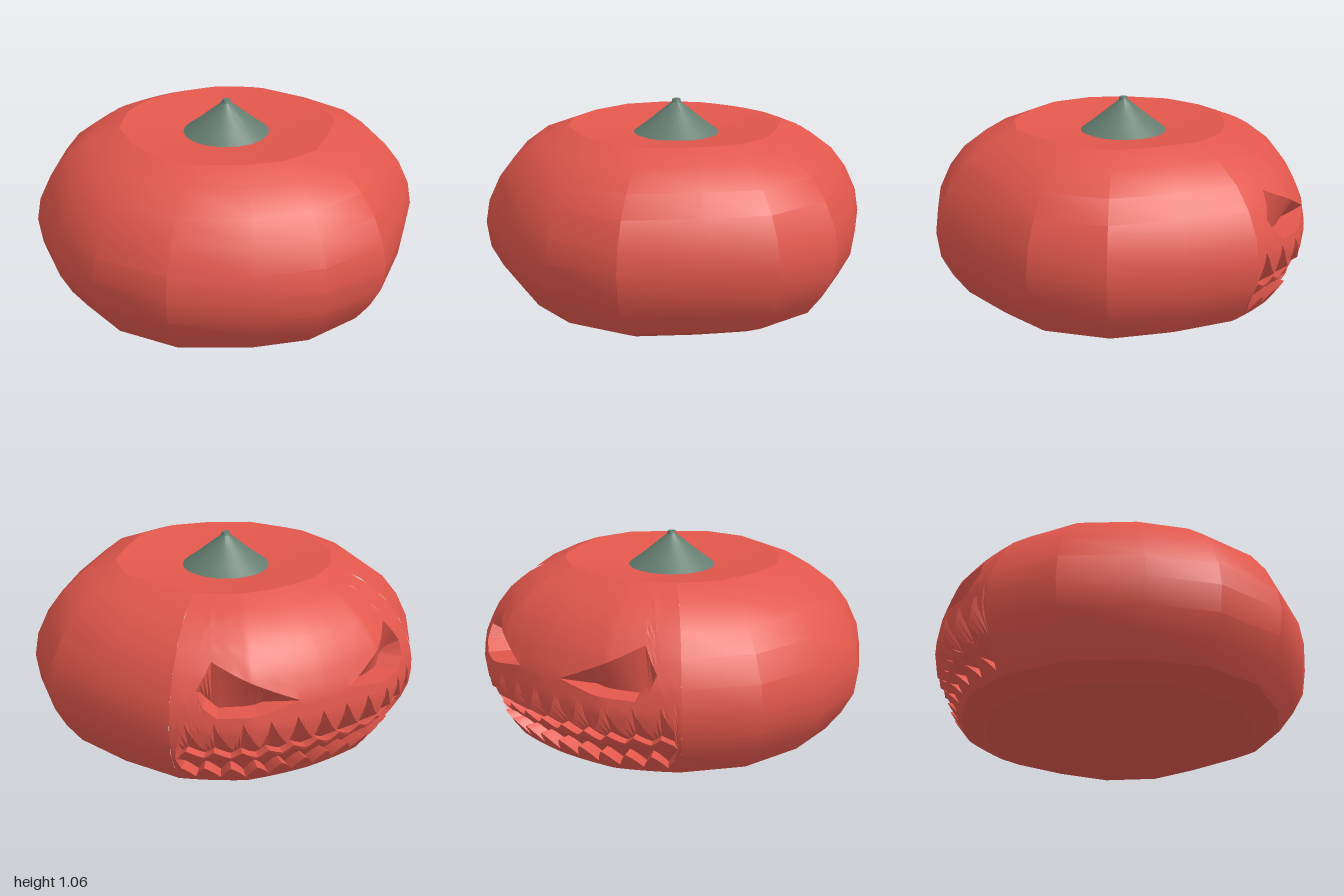
import * as THREE from 'three';
import { toCreasedNormals } from 'three/addons/utils/BufferGeometryUtils.js';

// Body outline (x, z) at its widest, running clockwise seen from above
const FRONT = [[0.7, -0.72], [0.88, -0.385], [1, -0.015], [0.92, 0.37], [0.685, 0.63], [0.375, 0.915],
  [-0.01, 0.99], [-0.35, 0.9], [-0.72, 0.7], [-0.945, 0.365], [-1, 0], [-0.94, -0.405], [-0.72, -0.72]];
const BACK = [[-0.72, -0.72], [-0.4, -0.925], [-0.01, -0.98], [0.375, -0.935], [0.7, -0.72]];
// Side profile: [height, fraction of the outline]
const PROFILE = [[0.07, 0.84], [0.175, 0.92], [0.285, 0.98], [0.42, 1], [0.54, 0.98],
  [0.67, 0.92], [0.775, 0.84], [0.87, 0.715], [0.93, 0.56]];

// Piecewise linear lookup in a list of [x, y] pairs
function lookup(table, x) {
  if (x <= table[0][0]) return table[0][1];
  for (let i = 1; i < table.length; i++) {
    const [x0, y0] = table[i - 1], [x1, y1] = table[i];
    if (x <= x1) return y0 + (y1 - y0) * (x - x0) / (x1 - x0);
  }
  return table[table.length - 1][1];
}

// Point on the body side, optionally sunk inward
function surface([x, z], y, depth = 0) {
  const f = lookup(PROFILE, y) - depth;
  return new THREE.Vector3(x * f, y, z * f);
}

// Outline point on the carved side for an angle of -45..45 degrees
function backPoint(angle) {
  const u = (angle + 45) / 22.5, i = Math.min(3, Math.floor(u)), f = u - i;
  const a = BACK[i], b = BACK[i + 1], bulge = 1 + 0.04 * f * (1 - f);
  return [(a[0] + (b[0] - a[0]) * f) * bulge, (a[1] + (b[1] - a[1]) * f) * bulge];
}

// Skin between neighbouring columns of points
function skin(columns, crease) {
  const pos = [], area = new THREE.Triangle();
  const tri = (...p) => {
    if (area.set(...p).getArea() > 1e-8) for (const v of p) pos.push(v.x, v.y, v.z);
  };
  for (let i = 0; i + 1 < columns.length; i++) {
    const p = columns[i], q = columns[i + 1];
    for (let j = 0; j + 1 < p.length; j++) {
      tri(p[j], p[j + 1], q[j + 1]);
      tri(p[j], q[j + 1], q[j]);
    }
  }
  const g = new THREE.BufferGeometry();
  g.setAttribute('position', new THREE.Float32BufferAttribute(pos, 3));
  return toCreasedNormals(g, crease);
}

// Repeating spike, 0 in the valleys and 1 at the tip, with a leaning peak
function spike(angle, peak) {
  const s = (((angle + 44) % 8) + 8) % 8;
  return Math.pow(s < peak ? s / peak : (8 - s) / (8 - peak), 1.3);
}

// Carved column: surface runs broken by wedge cuts, each a ledge and a sloping wall
function carvedColumn(angle) {
  const p = backPoint(angle), a = Math.abs(angle), open = a < 44;
  const low = open ? 0.18 - 0.08 * spike(angle, 3) : 0.24;
  const lipLow = open ? 0.225 + 0.04 * spike(angle, 5) : 0.24;
  const lipHigh = open ? lipLow + 0.018 : 0.24;
  const high = open ? 0.32 + 0.135 * spike(angle, 5) : 0.24;
  const eyeLow = lookup([[8, 0.53], [20, 0.49], [32, 0.48], [36, 0.53], [38, 0.6]], a);
  const eyeHigh = Math.max(eyeLow, lookup([[8, 0.53], [34, 0.72], [38, 0.6]], a));
  const eyeDepth = 0.12 * Math.min(1, (eyeHigh - eyeLow) / 0.1);
  const cut = open ? 0.08 : 0, lip = open ? 0.025 : 0;

  const out = [];
  const run = (y0, y1, n) => {
    for (let k = 0; k <= n; k++) out.push(surface(p, y0 + (y1 - y0) * k / n));
  };
  run(0.07, low, 2);
  out.push(surface(p, low, cut));
  out.push(surface(p, lipLow, lip), surface(p, lipHigh, lip), surface(p, lipHigh, cut));
  run(high, eyeLow, 5);
  out.push(surface(p, eyeLow, eyeDepth));
  run(eyeHigh, 0.93, 8);
  return out;
}

export function createModel() {
  const red = new THREE.MeshStandardMaterial({ color: 0xe2574c });
  red.name = 'redSkin';
  const green = new THREE.MeshStandardMaterial({ color: 0x647d70 });
  green.name = 'greyGreenStem';
  const group = new THREE.Group();
  group.name = 'carvedPumpkin';
  const add = (name, geometry, material) => {
    const mesh = new THREE.Mesh(geometry, material);
    mesh.name = name;
    group.add(mesh);
  };

  // Plain side of the body
  add('bodySide', skin(FRONT.map(p => PROFILE.map(([y]) => surface(p, y))), 0.45), red);

  // Carved side with eyes and toothed mouth
  const angles = Array.from({ length: 91 }, (_, i) => i - 45);
  add('carvedFace', skin(angles.map(carvedColumn), 0.47), red);

  // Top dips toward the stem; base closes underneath
  const ring = [...FRONT, ...angles.map(backPoint)];
  add('topDish', skin(ring.map(p => [
    surface(p, 0.93),
    new THREE.Vector3(p[0] * 0.23 - 0.01, 0.885, p[1] * 0.23 - 0.02),
    new THREE.Vector3(-0.01, 0.875, -0.02),
  ]), 0.5), red);
  add('base', skin(ring.map(p => [
    new THREE.Vector3(0, 0, 0),
    new THREE.Vector3(p[0] * 0.71, 0.01, p[1] * 0.71),
    surface(p, 0.07),
  ]), 0.4), red);

  // Stem
  const stem = [[0.23, 0.88], [0.16, 0.932], [0.08, 0.998], [0.025, 1.043], [0.02, 1.06], [0, 1.06]];
  const lathe = new THREE.LatheGeometry(stem.map(([x, y]) => new THREE.Vector2(x, y)), 32);
  lathe.translate(-0.01, 0, -0.02);
  add('stem', toCreasedNormals(lathe, 0.6), green);
  return group;
}
